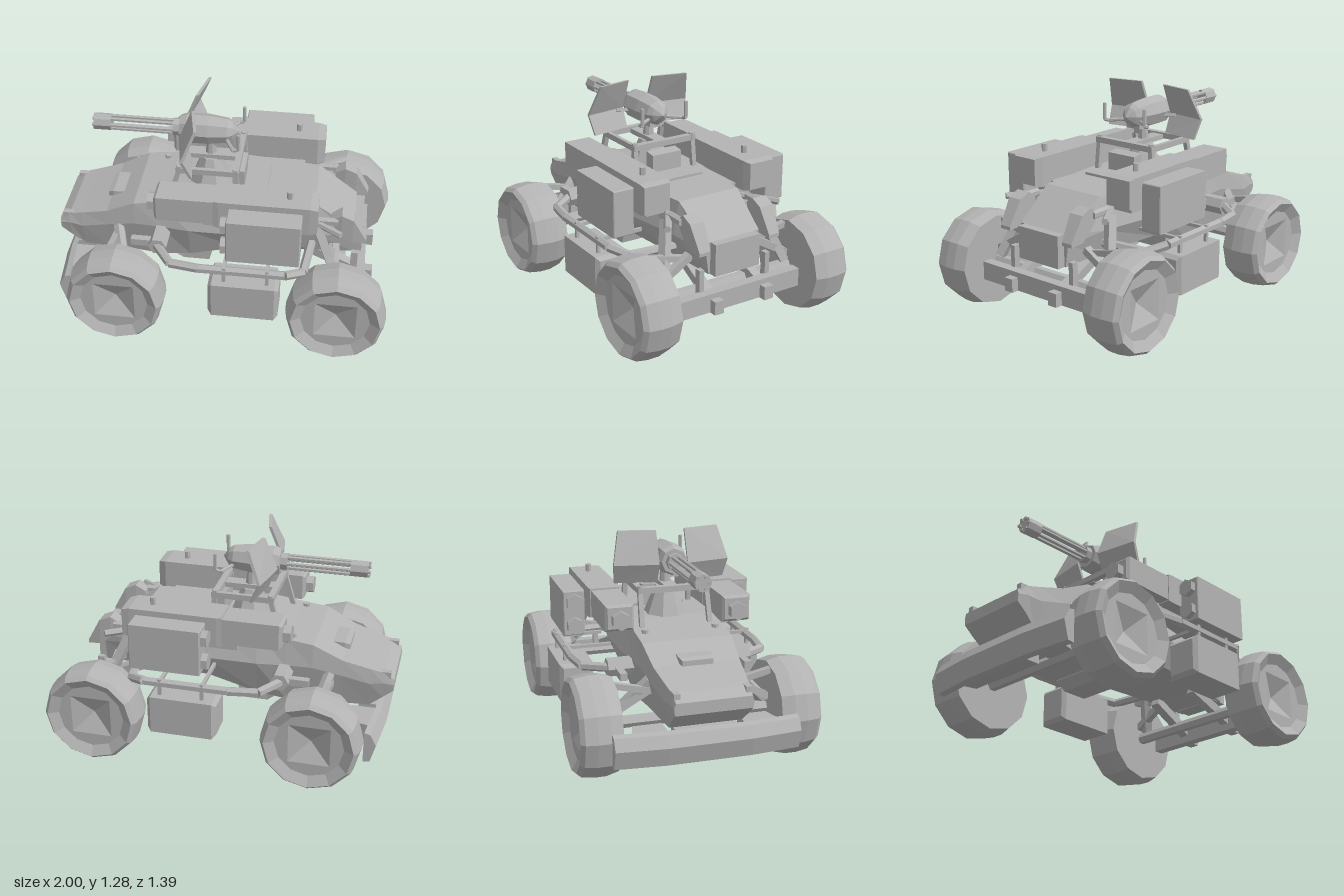
import * as THREE from 'three';

export function createModel() {
  const root = new THREE.Group();
  root.name = 'armedBuggy';
  const grey = new THREE.MeshStandardMaterial({ color: 0xb3b3b3 });
  grey.name = 'plain grey';

  // --- helpers -------------------------------------------------------------
  const V = (p) => new THREE.Vector3(...p);
  const flat = (g) => {
    const f = g.index ? g.toNonIndexed() : g;
    f.deleteAttribute('uv');
    f.computeVertexNormals();
    return f;
  };
  const add = (name, geo) => {
    const m = new THREE.Mesh(flat(geo), grey);
    m.name = name;
    root.add(m);
  };
  // one part on the +z side and its mirror image on the -z side
  const pair = (name, geo) => {
    const a = flat(geo), b = a.clone(), p = b.attributes.position;
    for (let i = 0; i < p.count; i += 3) {
      const t = [0, 2, 1].map((k) => [p.getX(i + k), p.getY(i + k), -p.getZ(i + k)]);
      t.forEach((v, k) => p.setXYZ(i + k, ...v));
    }
    add(name + 'Left', a);
    add(name + 'Right', b);
  };
  const box = (x0, x1, y0, y1, z0, z1) =>
    new THREE.BoxGeometry(x1 - x0, y1 - y0, z1 - z0).translate((x0 + x1) / 2, (y0 + y1) / 2, (z0 + z1) / 2);
  // rod between two points; four sides make a square bar
  const rod = (p, q, r, sides = 6, r2 = r) => {
    const a = V(p), b = V(q), d = b.clone().sub(a);
    const g = new THREE.CylinderGeometry(r2, r, d.length(), sides);
    g.rotateY(Math.PI / sides);
    g.applyQuaternion(new THREE.Quaternion().setFromUnitVectors(new THREE.Vector3(0, 1, 0), d.normalize()));
    return g.translate(...a.add(b).multiplyScalar(0.5).toArray());
  };
  // skin through equal-sized rings of points, with closed ends
  const loft = (rings) => {
    const n = rings[0].length, idx = [], last = (rings.length - 1) * n;
    for (let s = 0; s < rings.length - 1; s++) for (let i = 0; i < n; i++) {
      const a = s * n + i, b = s * n + (i + 1) % n;
      idx.push(a, b, b + n, a, b + n, a + n);
    }
    for (let i = 1; i < n - 1; i++) idx.push(0, i + 1, i, last, last + i, last + i + 1);
    const g = new THREE.BufferGeometry();
    g.setAttribute('position', new THREE.Float32BufferAttribute(rings.flat(2), 3));
    g.setIndex(idx);
    return g;
  };
  const rect = (x, y0, y1, z0, z1) => [[x, y1, z0], [x, y1, z1], [x, y0, z1], [x, y0, z0]];
  // box with the edges at both x ends bevelled by c
  const bevelBox = (x0, x1, y0, y1, z0, z1, c) => loft([
    rect(x0, y0 + c, y1 - c, z0 + c, z1 - c), rect(x0 + c, y0, y1, z0, z1),
    rect(x1 - c, y0, y1, z0, z1), rect(x1, y0 + c, y1 - c, z0 + c, z1 - c)]);

  // --- hull: x, top y, top half width, mid y, mid half width, bottom y, bottom half width
  const hull = [
    [-1, .53, .215, .50, .225, .46, .22], [-.94, .57, .22, .51, .235, .41, .22],
    [-.86, .59, .23, .50, .245, .34, .21], [-.70, .635, .25, .54, .26, .34, .22],
    [-.53, .72, .265, .58, .28, .34, .23], [-.37, .74, .265, .58, .29, .33, .24],
    [-.2, .765, .26, .58, .31, .35, .24], [.1, .77, .25, .58, .31, .43, .24],
    [.54, .77, .20, .58, .24, .43, .20], [.78, .60, .18, .54, .18, .41, .16]];
  add('hull', loft(hull.map(([x, ty, tw, my, mw, by, bw]) => [
    [x, ty, -tw], [x, ty, tw], [x, my, mw], [x, by, bw], [x, by, -bw], [x, my, -mw]])));
  add('bellyPan', loft([rect(-.31, .33, .5, -.21, .21), rect(-.25, .28, .5, -.2, .2),
    rect(-.09, .28, .5, -.2, .2), rect(-.05, .43, .5, -.2, .2)]));
  add('deckPlate', box(.04, .25, .765, .785, -.16, .16));
  add('hoodScoop', loft([rect(-.72, .61, .66, -.09, .09), rect(-.69, .61, .672, -.10, .10),
    rect(-.595, .61, .675, -.10, .10)]));
  pair('noseBlock', box(-.98, -.92, .535, .575, .185, .22));
  pair('hoodBolt', rod([-.4, .73, .21], [-.4, .755, .21], .02));
  add('rearBox', box(.72, .83, .41, .60, -.15, .15));

  // --- bumpers and tow gear
  add('frontBumper', loft([[-.53, -.925], [-.24, -.952], [.24, -.952], [.53, -.925]].map(([z, x]) => [
    [x + .045, .345, z], [x + .01, .335, z], [x - .025, .27, z], [x + .005, .16, z], [x + .045, .155, z], [x + .02, .27, z]])));
  pair('bumperBox', loft([rect(-.92, .2, .33, .22, .43), rect(-.76, .2, .33, .22, .39)]));
  add('skidPlate', box(-.92, -.8, .17, .33, -.18, .18));
  add('rearBar', box(.80, .86, .22, .33, -.42, .42));
  pair('towHook', box(.86, .905, .22, .30, .14, .20));
  pair('rearFrameRail', rod([.5, .42, .15], [.83, .28, .17], .04, 4));
  pair('rearUpright', box(.77, .81, .3, .46, .21, .24));

  // --- wheels with square recessed hubs, axles and suspension
  const tyre = [[0, .457], [.272, .457], [.291, .53], [.291, .60], [.28, .67], [.258, .695],
    [.20, .66]].map(([r, z]) => new THREE.Vector2(r, z));
  const hub = [[.17, .66], [0, .60]].map(([r, z]) => new THREE.Vector2(r, z));
  const corners = (n, r, a0) => Array.from({ length: n }, (_, i) =>
    new THREE.Vector2(r * Math.cos(a0 + i * 2 * Math.PI / n), r * Math.sin(a0 + i * 2 * Math.PI / n)));
  const rim = new THREE.Shape(corners(12, .2, 0));
  rim.holes.push(new THREE.Path(corners(4, .17, Math.PI / 4)));
  for (const [name, x] of [['front', -.59], ['rear', .705]]) {
    pair(name + 'Wheel', new THREE.LatheGeometry(tyre, 12).rotateX(Math.PI / 2).translate(x, .294, 0));
    pair(name + 'Rim', new THREE.ShapeGeometry(rim).translate(x, .294, .66));
    pair(name + 'Hub', new THREE.LatheGeometry(hub, 4, Math.PI / 4).rotateX(Math.PI / 2).translate(x, .294, 0));
    add(name + 'Axle', rod([x, .29, -.46], [x, .29, .46], .035, 6));
    pair(name + 'Arm', rod([x - .03, .50, .22], [x - .02, .36, .46], .03, 4));
    pair(name + 'UpperArm', rod([x - .05, .47, .2], [x - .05, .53, .46], .025, 4));
  }
  pair('frontShock', rod([-.63, .54, .25], [-.56, .33, .45], .035));
  pair('rearShock', rod([.56, .69, .30], [.72, .33, .42], .035, 4));
  pair('rearBrace', rod([.5, .70, .25], [.7, .70, .38], .02));
  pair('rearStrut', rod([.55, .71, .27], [.68, .71, .27], .025));
  // slanted tail light pods
  pair('tailPod', loft([rect(.64, .69, .72, .20, .27), rect(.70, .63, .76, .19, .28),
    rect(.77, .575, .73, .19, .28), rect(.85, .565, .585, .20, .27)]));

  // --- side rails and hung tanks
  const rail = [[-.36, .55, .30], [-.38, .54, .40], [-.27, .53, .55], [-.1, .53, .575],
    [.40, .53, .575], [.50, .50, .50], [.53, .50, .22]];
  for (let i = 1; i < rail.length; i++) pair('sideRail', rod(rail[i - 1], rail[i], .027));
  pair('railMount', rod([-.53, .53, .37], [-.38, .53, .37], .03, 4));
  pair('railCap', rod([-.365, .54, .28], [-.365, .54, .43], .055));
  pair('tank', bevelBox(-.04, .37, .23, .46, .43, .635, .022));
  for (const x of [.05, .30]) {
    pair('tankHanger', rod([x, .45, .585], [x, .56, .585], .014, 4));
    pair('tankTopHook', rod([x, .54, .3], [x, .54, .58], .014, 4));
  }

  // --- long launcher pods and outer ammunition boxes
  pair('podFront', bevelBox(-.375, -.01, .75, .905, .265, .435, .015));
  pair('podRear', loft([rect(-.03, .74, .915, .26, .44), rect(.0, .735, .915, .255, .445),
    rect(.52, .735, .915, .255, .445), rect(.565, .745, .905, .275, .44)]));
  pair('podCap', rod([-.42, .82, .35], [-.36, .82, .35], .055));
  pair('podStud', rod([.4, .90, .35], [.4, .96, .35], .018));
  pair('podBracket', box(-.1, .45, .68, .76, .2, .36));
  pair('sideBox', bevelBox(.06, .48, .61, .885, .455, .585, .005));
  for (const y of [.82, .675]) pair('sideBoxCap', rod([.025, y, .52], [.07, y, .52], .052));
  pair('sideBoxBracket', box(.12, .42, .74, .82, .43, .47));

  // --- gun mount frame
  pair('frameSide', box(-.28, .09, .93, .965, .19, .215));
  for (const x of [-.26, .07]) {
    add('frameCross', box(x - .018, x + .018, .93, .965, -.2, .2));
    pair('framePost', rod([x + (x < 0 ? -.06 : .02), .74, .205], [x, .95, .2], .02, 4));
    pair('frameBolt', rod([x, .96, .2], [x, .975, .2], .018));
  }
  add('seatBack', loft([rect(.04, .76, .90, -.1, .1), rect(.11, .76, .89, -.1, .1)]));
  add('pedestalBase', rod([-.1, .76, 0], [-.1, .93, 0], .13, 8, .06));
  add('mountBeam', box(-.26, .07, .925, .955, -.04, .04));
  add('pedestal', rod([-.1, .93, 0], [-.1, 1.06, 0], .035, 8, .025));

  // --- rotary gun
  const spin = (profile, sides) => new THREE.LatheGeometry(profile.map((p) => new THREE.Vector2(...p)), sides)
    .rotateZ(-Math.PI / 2).translate(0, 1.11, 0);
  add('gunBody', spin([[0, -.28], [.075, -.28], [.09, -.24], [.09, -.11], [.075, .0], [.055, .03], [0, .07]], 8));
  for (let i = 0; i < 6; i++) {
    const a = i * Math.PI / 3, y = 1.11 + .036 * Math.sin(a), z = .036 * Math.cos(a);
    add('barrel', rod([-.8, y, z], [-.27, y, z], .012));
  }
  add('muzzleClamp', spin([[0, -.79], [.05, -.79], [.05, -.69], [0, -.69]], 8));
  add('barrelClamp', spin([[0, -.32], [.052, -.32], [.052, -.27], [0, -.27]], 8));
  add('feedBlock', box(-.08, 0, 1.03, 1.08, -.05, .05));
  const grip = [[.0, 1.08, .06], [.05, 1.07, .15], [.08, 1.08, .152], [.08, 1.18, .152]];
  for (let i = 1; i < grip.length; i++) pair('handle', rod(grip[i - 1], grip[i], .011));

  // --- bent gun shields, swept back toward the outer edge; edges are x, y, outer z
  const top = [-.195, 1.28, .30], middle = [-.27, 1.095, .345], bottom = [-.22, .98, .33];
  const plate = ([ax, ay, az], [bx, by, bz]) => loft([[-.005, .085, .085], [.04, az, bz]].map(([dx, za, zb]) => [
    [ax + dx + .018, ay, za], [ax + dx, ay, za], [bx + dx, by, zb], [bx + dx + .018, by, zb]]));
  pair('shieldUpper', plate(top, middle));
  pair('shieldLower', plate(middle, bottom));
  pair('shieldStrut', rod([-.2, 1.09, .05], [-.235, 1.09, .14], .015, 4));

  return root;
}
